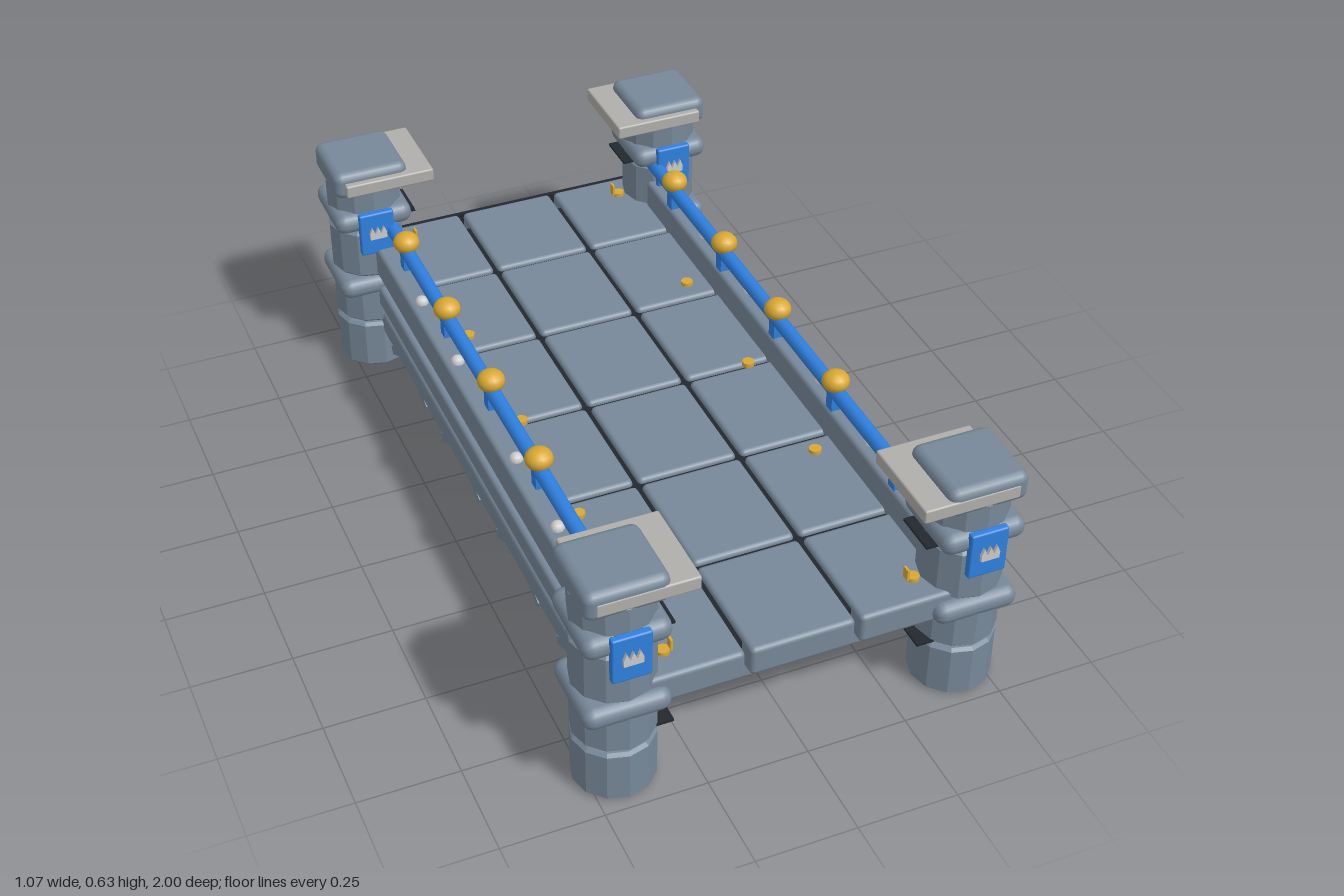
import * as THREE from 'three';
import { RoundedBoxGeometry } from 'three/addons/geometries/RoundedBoxGeometry.js';

const mat = (color, flatShading = false) => new THREE.MeshStandardMaterial({ color, flatShading });
const stone = mat(0x778899);
const stoneFlat = mat(0x778899, true);
const pale = mat(0xb0aeaa);
const grey = mat(0xcccccc);
const blue = mat(0x2f80e0);
const gold = mat(0xd9a832);
const dark = mat(0x23282e);

function add(parent, name, geometry, material, x, y, z) {
  const mesh = new THREE.Mesh(geometry, material);
  mesh.name = name;
  mesh.position.set(x, y, z);
  parent.add(mesh);
  return mesh;
}

const rounded = (w, h, d, r) => new RoundedBoxGeometry(w, h, d, 2, r);
const box = (w, h, d) => new THREE.BoxGeometry(w, h, d);

// One drum of a tower: a twelve-sided cylinder with bevelled rims
function drum(height) {
  const r = 0.1, b = 0.008;
  const profile = [[0, 0], [r - b, 0], [r, b], [r, height - b], [r - b, height], [0, height]];
  return new THREE.LatheGeometry(profile.map(([x, y]) => new THREE.Vector2(x, y)), 12);
}

// Small three-pointed emblem
function crest() {
  const s = new THREE.Shape();
  s.moveTo(-0.023, -0.018);
  s.lineTo(0.023, -0.018);
  s.lineTo(0.023, -0.002);
  for (let i = 2; i >= 0; i--) {
    const x = (i - 1) * 0.016;
    s.lineTo(x + 0.008, -0.002);
    s.lineTo(x, 0.018);
    s.lineTo(x - 0.008, -0.002);
  }
  s.lineTo(-0.023, -0.002);
  return new THREE.ExtrudeGeometry(s, { depth: 0.01, bevelEnabled: false });
}

function tower(side, z, slabZ) {
  const g = new THREE.Group();
  g.name = 'tower';
  const x = side * 0.43;
  for (const [y, h] of [[0, 0.143], [0.149, 0.143], [0.298, 0.142], [0.446, 0.134]])
    add(g, 'towerDrum', drum(h), stoneFlat, x, y, z);
  // Collars, cap and offset slab
  for (const y of [0.268, 0.477])
    add(g, 'towerCollar', rounded(0.21, 0.056, 0.21, 0.026), stone, x, y, z);
  add(g, 'towerCap', rounded(0.2, 0.075, 0.2, 0.022), stone, x, 0.597, z);
  add(g, 'capSlab', rounded(0.24, 0.036, 0.235, 0.005), pale, side * 0.385, 0.592, slabZ);
  // Thin dark plates on the inner side
  for (const y of [0.157, 0.454])
    add(g, 'innerPlate', box(0.09, 0.006, 0.11), dark, side * 0.35, y, z);
  // Plaque with its emblem on the front
  add(g, 'plaque', rounded(0.095, 0.124, 0.02, 0.005), blue, x, 0.447, z + 0.106);
  add(g, 'plaqueEmblem', crest(), grey, x, 0.453, z + 0.114);
  // Gold hinge at the tower foot
  add(g, 'hingeBase', new THREE.CylinderGeometry(0.016, 0.016, 0.01, 12), gold, side * 0.31, 0.324, z);
  add(g, 'hingePin', box(0.006, 0.03, 0.02), gold, side * 0.293, 0.34, z);
  return g;
}

function strut(parent, x, z, tilt) {
  const mesh = add(parent, 'crossStrut', box(0.028, 0.024, 0.33), stone, x, 0.13, z);
  mesh.rotation.x = tilt;
}

function sideWall(side) {
  const g = new THREE.Group();
  g.name = 'sideWall';
  const x = side * 0.4;
  // Three stacked beams
  add(g, 'parapet', rounded(0.07, 0.094, 1.62, 0.012), stone, x, 0.347, 0);
  add(g, 'middleBeam', rounded(0.07, 0.066, 1.62, 0.012), stone, x, 0.232, 0);
  add(g, 'lowerBeam', rounded(0.06, 0.075, 1.62, 0.015), stone, x, 0.142, 0);
  // Crossed struts behind the lower beam
  for (let i = 0; i < 4; i++) {
    const z = 0.63 - i * 0.42;
    strut(g, x, z, 0.5);
    strut(g, x, z, -0.5);
  }
  // Handrail on posts with gold finials
  const rail = add(g, 'handrail', new THREE.CylinderGeometry(0.019, 0.019, 1.62, 12), blue, side * 0.385, 0.445, 0);
  rail.rotation.x = Math.PI / 2;
  for (let i = -2; i <= 2; i++) {
    const z = -0.006 + i * 0.326;
    add(g, 'railPost', box(0.03, 0.05, 0.03), blue, side * 0.385, 0.415, z);
    add(g, 'finial', new THREE.SphereGeometry(0.035, 16, 10), gold, side * 0.385, 0.474, z).scale.y = 0.8;
  }
  // Rivets on the parapet
  for (const z of [0.48, 0.21, -0.21, -0.49])
    add(g, 'rivet', new THREE.SphereGeometry(0.018, 10, 8), grey, side * 0.403, 0.396, z);
  return g;
}

function deck() {
  const g = new THREE.Group();
  g.name = 'deck';
  add(g, 'deckSlab', box(0.76, 0.047, 1.8), stone, 0, 0.219, 0);
  add(g, 'deckGrout', box(0.76, 0.04, 1.8), dark, 0, 0.285, 0);
  add(g, 'backEdge', box(0.74, 0.04, 0.012), dark, 0, 0.292, -0.972);
  // Paving blocks in six rows of three
  const edges = [-0.97, -0.66, -0.335, -0.01, 0.318, 0.642, 0.957];
  for (let r = 0; r < 6; r++) {
    const depth = edges[r + 1] - edges[r] - 0.012;
    for (let c = -1; c <= 1; c++)
      add(g, 'pavingBlock', rounded(c ? 0.245 : 0.258, 0.078, depth, 0.012), stone,
        c * 0.2645, 0.28, (edges[r] + edges[r + 1]) / 2);
  }
  // Gold studs along both edges
  for (const x of [-0.31, 0.31])
    for (const z of [-0.4, -0.01, 0.375])
      add(g, 'deckStud', new THREE.CylinderGeometry(0.016, 0.016, 0.012, 12), gold, x, 0.323, z);
  return g;
}

export function createModel() {
  const model = new THREE.Group();
  model.name = 'bridge';
  model.add(deck());
  for (const side of [-1, 1])
    model.add(sideWall(side), tower(side, 0.876, 0.86), tower(side, -0.882, -0.882));
  return model;
}
